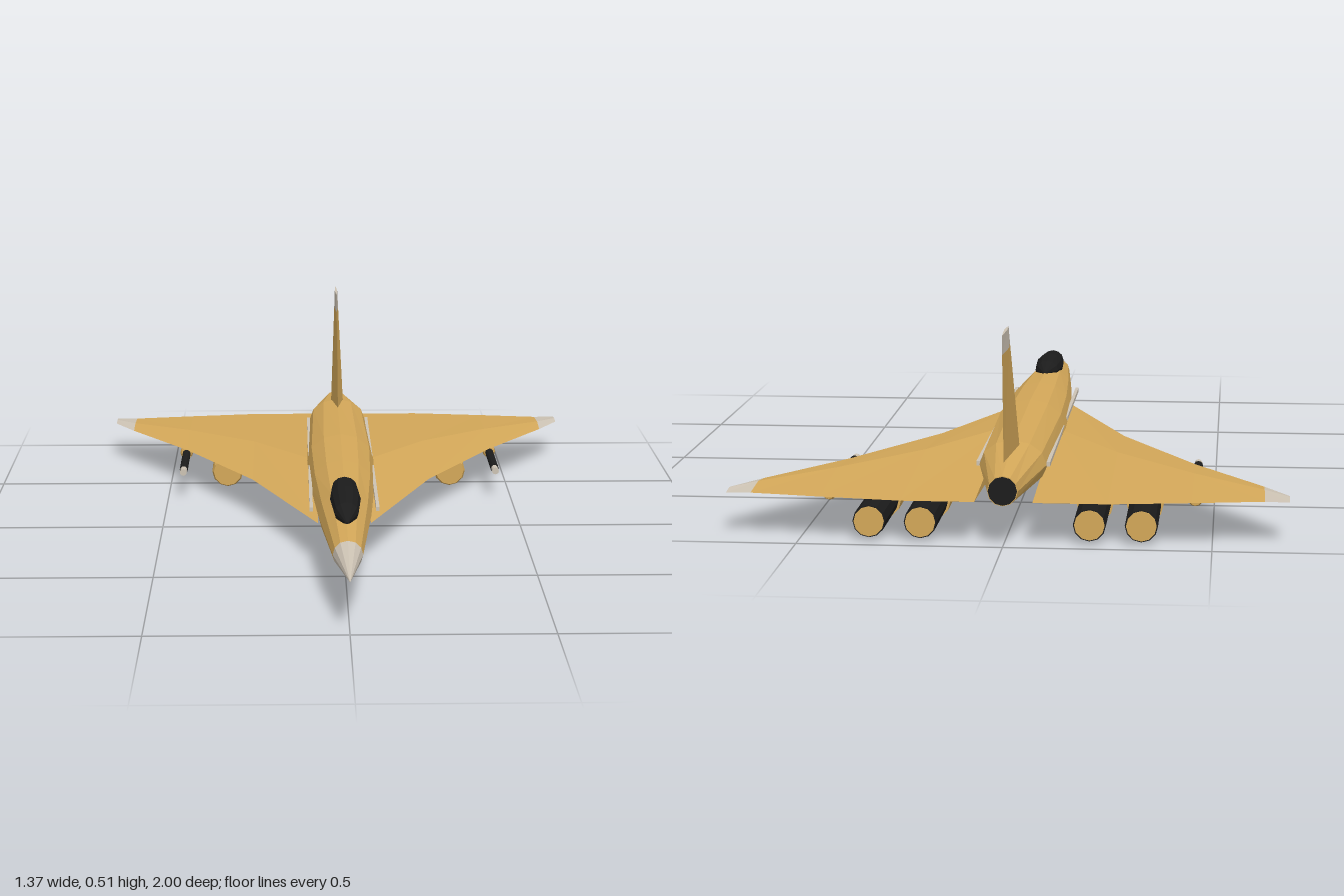
import * as THREE from 'three';

const mat = (name, color) => {
  const m = new THREE.MeshStandardMaterial({ color });
  m.name = name;
  return m;
};

// Closed faceted solid through equal-sized rings of Vector3, capped at both ends
function loft(rings) {
  const tris = [];
  const n = rings[0].length;
  for (let i = 0; i < rings.length - 1; i++) {
    for (let j = 0; j < n; j++) {
      const k = (j + 1) % n;
      const [a, b, c, d] = [rings[i][j], rings[i][k], rings[i + 1][k], rings[i + 1][j]];
      tris.push([a, b, c], [a, c, d]);
    }
  }
  const first = rings[0], last = rings[rings.length - 1];
  for (let j = 1; j < n - 1; j++) {
    tris.push([first[0], first[j + 1], first[j]], [last[0], last[j], last[j + 1]]);
  }
  // Turn the faces outward if the enclosed volume comes out negative
  const cross = new THREE.Vector3();
  const volume = tris.reduce((s, [a, b, c]) => s + a.dot(cross.crossVectors(b, c)), 0);
  const points = tris.flatMap(([a, b, c]) => (volume < 0 ? [a, c, b] : [a, b, c]));
  const geo = new THREE.BufferGeometry().setFromPoints(points);
  geo.computeVertexNormals();
  return geo;
}

// Elliptical ring across z
function oval([z, y, rx, ry], sides = 12) {
  return Array.from({ length: sides }, (_, i) => {
    const a = (i / sides) * Math.PI * 2;
    return new THREE.Vector3(Math.cos(a) * rx, y + Math.sin(a) * ry, z);
  });
}
const body = (sections) => loft(sections.map((s) => oval(s)));

// Diamond wing section at x
const wingRing = (side) => ([x, front, back, h]) => {
  const ridge = front + (back - front) * 0.42;
  const y = 0.105;
  return [[y, front], [y + h, ridge], [y, back], [y - h, ridge]]
    .map(([py, pz]) => new THREE.Vector3(side * x, py, pz));
};

// Diamond fin section at y
const finRing = ([y, front, back, h]) => {
  const ridge = front + (back - front) * 0.42;
  return [[0, front], [h, ridge], [0, back], [-h, ridge]]
    .map(([x, z]) => new THREE.Vector3(x, y, z));
};

export function createModel() {
  const tan = mat('sand paint', 0xd4a859);
  const black = mat('black', 0x1c1c1c);
  const silver = mat('pale grey', 0xcdc3b4);
  const model = new THREE.Group();
  model.name = 'deltaJet';
  const add = (name, geometry, material, parent = model) => {
    const mesh = new THREE.Mesh(geometry, material);
    mesh.name = name;
    parent.add(mesh);
    return mesh;
  };

  // Fuselage: z, centre y, half width, half height
  const noseJoint = [0.77, 0.135, 0.038, 0.036];
  add('noseCone', body([[1, 0.133, 0.001, 0.001], noseJoint]), silver);
  add('fuselage', body([
    noseJoint,
    [0.4, 0.137, 0.07, 0.068],
    [0.1, 0.139, 0.088, 0.075],
    [-0.2, 0.14, 0.095, 0.078],
    [-0.72, 0.145, 0.084, 0.062],
    [-0.997, 0.137, 0.037, 0.037],
  ]), tan);
  add('exhaust', body([[-0.99, 0.137, 0.035, 0.035], [-1, 0.137, 0.035, 0.035]]), black);
  add('canopy', body([
    [0.68, 0.192, 0.004, 0.003],
    [0.6, 0.197, 0.031, 0.028],
    [0.47, 0.2, 0.04, 0.036],
    [0.36, 0.204, 0.033, 0.028],
    [0.28, 0.208, 0.005, 0.004],
  ]), black);

  // Tail fin: y, front z, back z, half thickness
  const finJoint = [0.465, -0.795, -0.995, 0.006];
  add('tailFin', loft([[0.2, -0.58, -0.965, 0.018], finJoint].map(finRing)), tan);
  add('tailFinTip', loft([finJoint, [0.512, -0.832, -1, 0.004]].map(finRing)), silver);

  // Wing: x, front z, back z, half thickness
  const wingJoint = [0.625, -0.745, -0.917, 0.008];
  const wing = [
    [0.07, 0.36, -0.977, 0.036],
    [0.25, -0.12, -0.977, 0.027],
    [0.45, -0.485, -0.947, 0.017],
    wingJoint,
  ];
  const wingTip = [wingJoint, [0.685, -0.847, -0.922, 0.005]];

  for (const [label, side] of [['left', 1], ['right', -1]]) {
    const half = new THREE.Group();
    half.name = label + 'Side';
    model.add(half);
    add(label + 'Wing', loft(wing.map(wingRing(side))), tan, half);
    add(label + 'WingTip', loft(wingTip.map(wingRing(side))), silver, half);

    // Narrow strips along the fuselage
    for (const [z0, z1] of [[0.37, -0.1], [-0.22, -0.715]]) {
      const strip = add(label + 'SideStrip', new THREE.BoxGeometry(0.009, 0.011, z0 - z1), silver, half);
      strip.position.set(side * 0.088, 0.146, (z0 + z1) / 2);
    }

    // Paired engines under the wing
    for (const x of [0.205, 0.33]) {
      const engine = new THREE.Group();
      engine.name = label + 'Engine';
      engine.position.set(side * x, 0.046, 0);
      half.add(engine);
      add('engineFront', body([[-0.45, 0, 0.041, 0.041], [-0.462, 0, 0.046, 0.046], [-0.71, 0, 0.046, 0.046]]), tan, engine);
      add('engineRear', body([[-0.705, 0, 0.04, 0.04], [-0.946, 0, 0.04, 0.04]]), black, engine);
      add('engineEnd', body([[-0.944, 0, 0.037, 0.037], [-0.95, 0, 0.037, 0.037]]), tan, engine);
    }

    // Outer gun pod
    const gun = new THREE.Group();
    gun.name = label + 'GunPod';
    gun.position.set(side * 0.456, 0.076, 0);
    half.add(gun);
    add('podBody', body([[-0.56, 0, 0.015, 0.015], [-0.575, 0, 0.019, 0.019], [-0.765, 0, 0.019, 0.019], [-0.78, 0, 0.014, 0.014]]), tan, gun);
    add('gunBarrel', body([[-0.36, 0, 0.012, 0.012], [-0.57, 0, 0.012, 0.012]]), black, gun);
    add('gunMuzzle', body([[-0.325, 0, 0.01, 0.01], [-0.365, 0, 0.01, 0.01]]), silver, gun);
  }
  return model;
}
